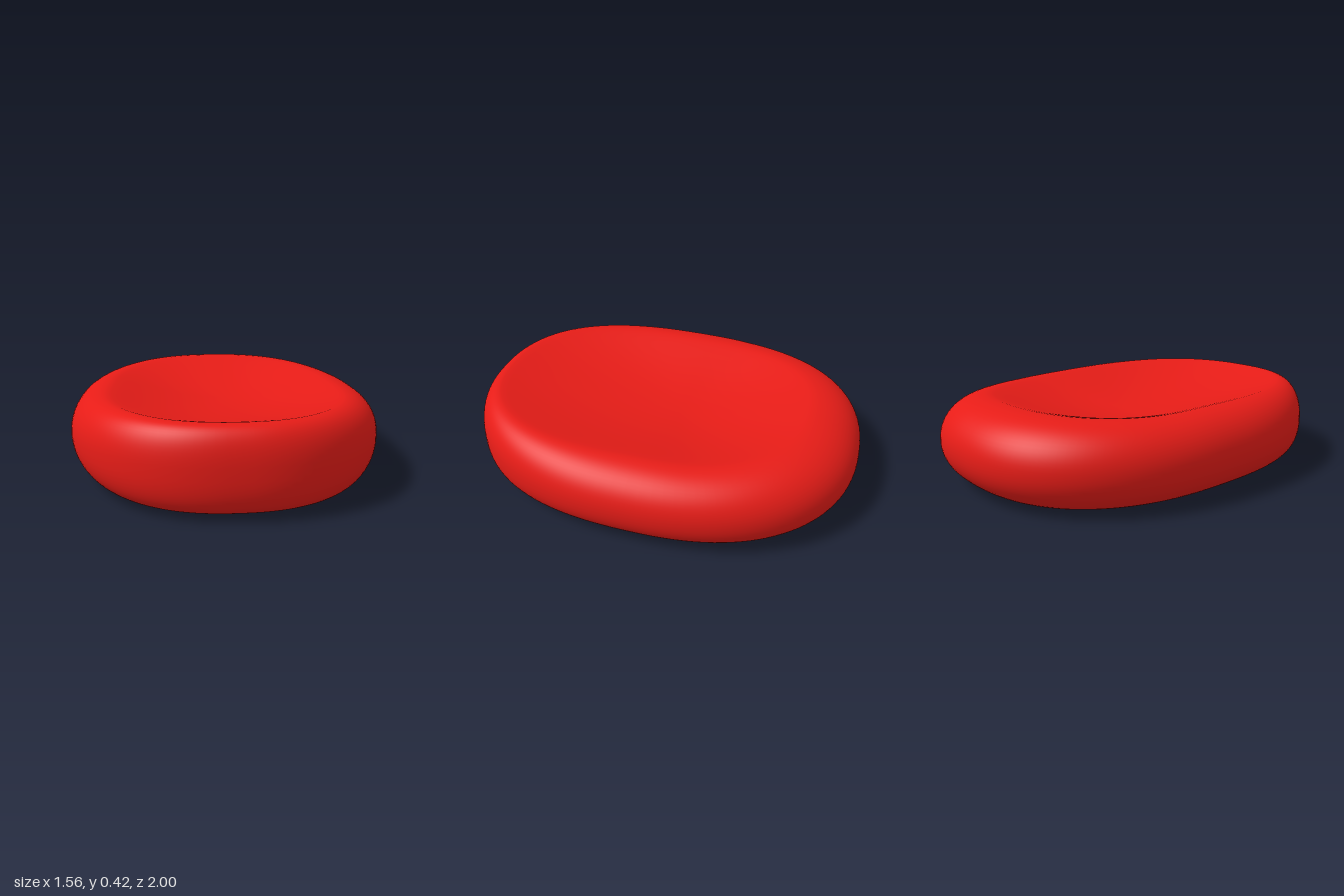
import * as THREE from 'three';
import { mergeVertices } from 'three/addons/utils/BufferGeometryUtils.js';

const AROUND = 128, DISH = 28, RIM = 32;
const CENTRE_Z = -0.06;            // middle of the two hollows
const FLOOR_TOP = 0.3, FLOOR_BOTTOM = 0.09;

const spow = (v, p) => Math.sign(v) * Math.pow(Math.abs(v), p);
const lerp = THREE.MathUtils.lerp;

// Height of the rim crest above and below, as a function of depth
const crestTop = z => 0.399 + (z > -0.25 ? 0.02 * Math.min(1, z + 0.25) : 0.09 * (z + 0.25) ** 2);
const crestBottom = z => 0.016 + 0.016 * z;

// One point of the skin: angle a around, row k from bottom centre to top centre
function skinPoint(a, k) {
  const c = Math.cos(a), s = Math.sin(a);
  const px = 0.78 * spow(c, 0.87), pz = spow(s, 0.87) - CENTRE_Z;
  const reach = Math.hypot(px, pz);

  // Rim is full and round at the back, tighter and steeper at the front
  const front = Math.max(0, s) ** 2, back = Math.max(0, -s) ** 2;
  const width = 0.2 - 0.1 * front + 0.06 * back;
  const power = 2 / (2.1 + 0.4 * front);
  const crest = 1 - width / reach;
  const crestZ = CENTRE_Z + pz * crest;
  const top = crestTop(crestZ), bottom = crestBottom(crestZ);

  let scale, y;
  if (k >= DISH && k <= DISH + RIM) {
    const phi = Math.PI * ((k - DISH) / RIM - 0.5);
    scale = crest + (width / reach) * Math.pow(Math.max(0, Math.cos(phi)), power);
    y = (top + bottom) / 2 + (top - bottom) / 2 * spow(Math.sin(phi), power);
  } else {
    // Hollow drops quickly behind the crest, then eases to the floor
    const upper = k > DISH;
    const u = upper ? (k - DISH - RIM) / DISH : (DISH - k) / DISH;
    const fall = THREE.MathUtils.smoothstep(Math.pow(u, 0.65 - 0.1 * front), 0, 1);
    scale = crest * (1 - u);
    y = upper ? lerp(top, FLOOR_TOP, fall) : lerp(bottom, FLOOR_BOTTOM, fall);
  }
  return [px * scale, y, CENTRE_Z + pz * scale];
}

// Closed skin made of stacked rings
function bodyGeometry() {
  const rows = 2 * DISH + RIM, position = [], index = [];
  for (let k = 0; k <= rows; k++) {
    for (let i = 0; i < AROUND; i++) position.push(...skinPoint(i / AROUND * Math.PI * 2, k));
  }
  for (let k = 0; k < rows; k++) {
    for (let i = 0; i < AROUND; i++) {
      const j = (i + 1) % AROUND;
      const a = k * AROUND + i, b = k * AROUND + j;
      const d = a + AROUND, e = b + AROUND;
      if (k < rows - 1) index.push(a, d, e);
      if (k > 0) index.push(a, e, b);
    }
  }
  const geometry = new THREE.BufferGeometry();
  geometry.setAttribute('position', new THREE.Float32BufferAttribute(position, 3));
  geometry.setIndex(index);
  const merged = mergeVertices(geometry, 1e-5);
  merged.computeVertexNormals();
  return merged;
}

export function createModel() {
  const group = new THREE.Group();
  group.name = 'dishedDisc';
  const body = new THREE.Mesh(bodyGeometry(), new THREE.MeshStandardMaterial({ color: 0xe61c17 }));
  body.name = 'discBody';
  // Rest the lowest point of the rim on the ground
  body.geometry.computeBoundingBox();
  body.position.y = -body.geometry.boundingBox.min.y;
  group.add(body);
  return group;
}
